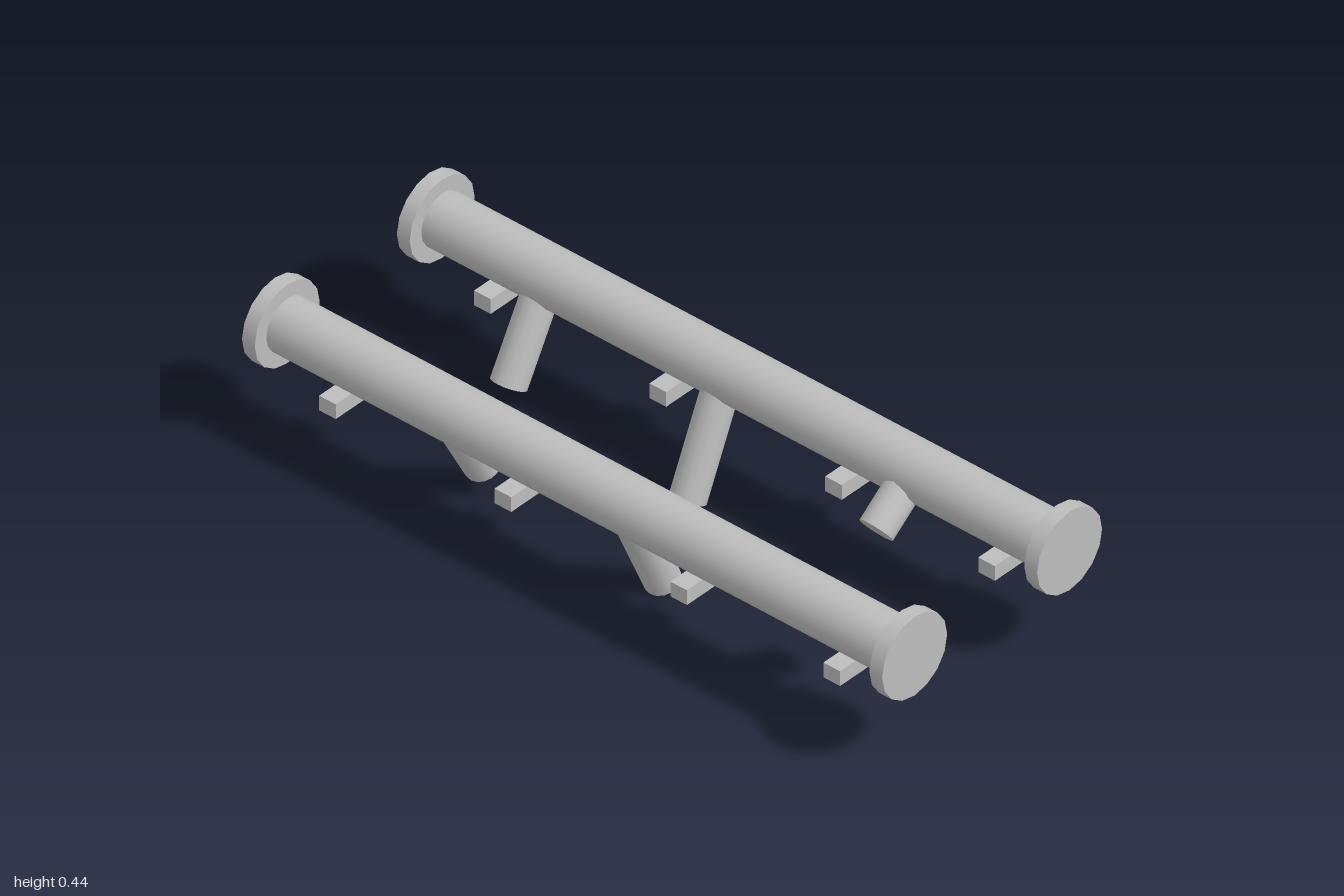
import * as THREE from 'three';

const AXIS_Y = 0.323, AXIS_Z = 0.274;

export function createModel() {
  const root = new THREE.Group();
  root.name = 'pipePair';
  const steel = new THREE.MeshStandardMaterial({ color: 0xbdbdbd });
  steel.name = 'grey steel';

  const add = (name, geometry, x, y, z) => {
    const mesh = new THREE.Mesh(geometry, steel);
    mesh.name = name;
    mesh.position.set(x, y, z);
    root.add(mesh);
    return mesh;
  };

  // Cylinder lying along x
  const alongX = (radius, length, sides) =>
    new THREE.CylinderGeometry(radius, radius, length, sides).rotateZ(Math.PI / 2);

  // Branch pipe from the main axis, leaning inward and down to its open-air end
  const branch = (side, x, endY) => {
    const start = new THREE.Vector3(x, AXIS_Y, side * AXIS_Z);
    const end = new THREE.Vector3(x, endY, side * 0.138);
    const dir = end.clone().sub(start);
    const mid = start.clone().add(end).multiplyScalar(0.5);
    const mesh = add('branchPipe', new THREE.CylinderGeometry(0.047, 0.047, dir.length(), 16), mid.x, mid.y, mid.z);
    mesh.quaternion.setFromUnitVectors(new THREE.Vector3(0, 1, 0), dir.normalize());
  };

  const branchEnds = [0.078, 0.021, 0.22];
  const branchX = { 1: [-0.47, 0.092, 0.682], '-1': [-0.632, -0.072, 0.516] };

  for (const side of [1, -1]) {
    const z = side * AXIS_Z;
    add('mainPipe', alongX(0.074, 1.92, 16), 0, AXIS_Y, z);

    // End flanges
    for (const end of [1, -1]) add('endFlange', alongX(0.115, 0.04, 16), end * 0.98, AXIS_Y, z);

    // Support bars under the pipe
    for (const x of [-0.757, -0.209, 0.34, 0.818])
      add('supportBar', new THREE.BoxGeometry(0.052, 0.043, 0.175), x, 0.2285, z);

    branchEnds.forEach((endY, i) => branch(side, branchX[side][i], endY));
  }
  return root;
}
